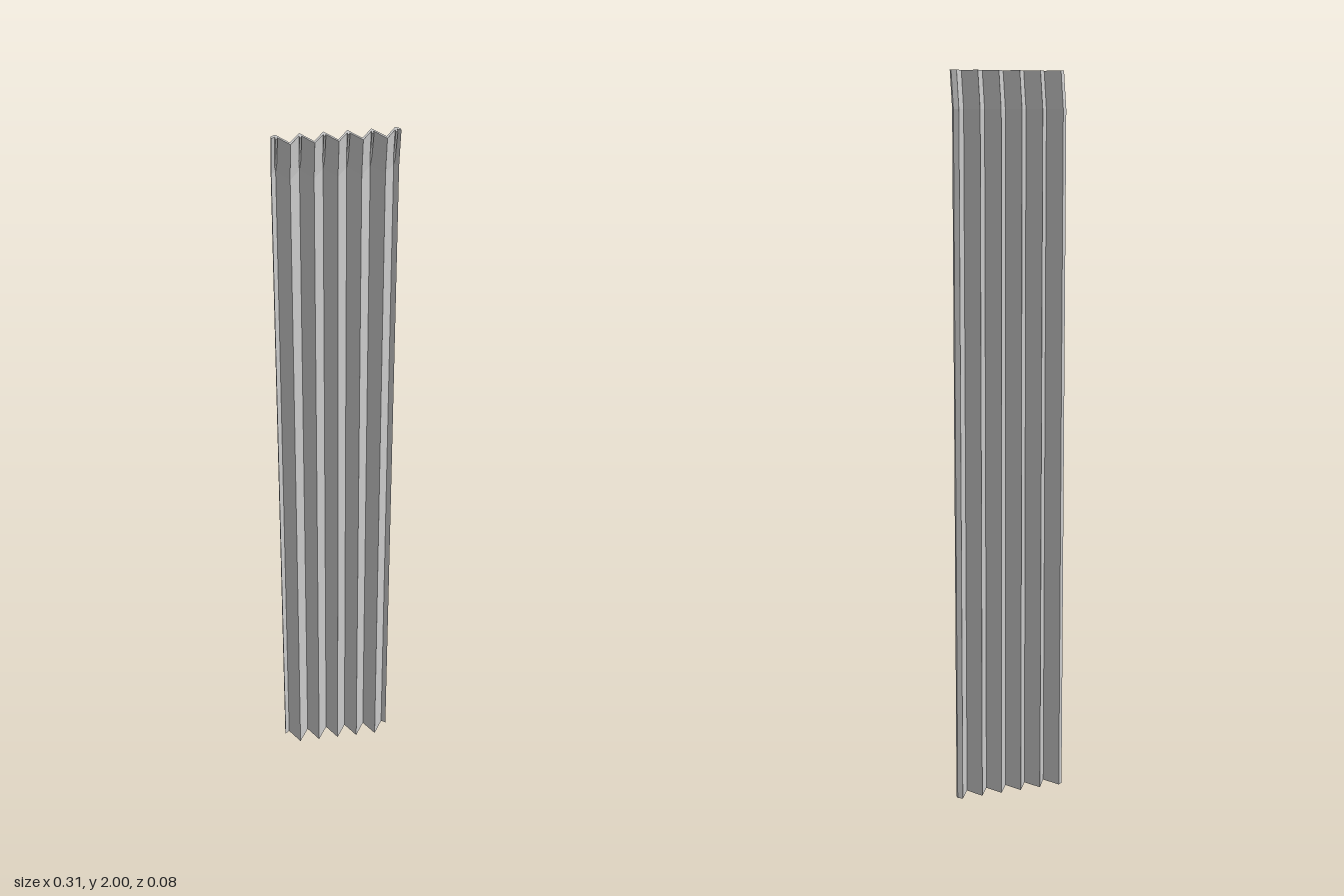
import * as THREE from 'three';

const HEIGHT = 2, BEND = 1.9, LEAN = 0.18;
const PITCH = 0.029;   // half wavelength of the folds
const THICK = 0.011;   // sheet thickness measured along z

// the sheet leans forward above the bend line
function leanForward(geometry) {
  const p = geometry.attributes.position;
  for (let i = 0; i < p.count; i++) {
    p.setZ(i, p.getZ(i) + Math.max(0, p.getY(i) - BEND) * LEAN);
  }
  geometry.computeVertexNormals();
  return geometry;
}

export function createModel() {
  const group = new THREE.Group();
  const material = new THREE.MeshStandardMaterial({ color: 0xcccccc, flatShading: true });

  // rear outline of the zigzag: short wings at both ends, six valleys, five ridges
  const back = [[-0.157, -0.031]];
  for (let i = -5; i <= 5; i++) back.push([i * PITCH, i % 2 ? -0.04 : 0.009]);
  back.push([0.157, -0.031]);
  const front = back.map(([x, z]) => [x, z + THICK]).reverse();
  const outline = [...back, ...front].map(([x, z]) => new THREE.Vector2(x, -z));

  // corrugated sheet; 20 steps place one row of vertices on the bend line
  const sheet = new THREE.ExtrudeGeometry(new THREE.Shape(outline), {
    depth: HEIGHT, steps: 20, bevelEnabled: false,
  }).rotateX(-Math.PI / 2);
  const panel = new THREE.Mesh(leanForward(sheet), material);
  panel.name = 'corrugatedPanel';
  group.add(panel);

  // thin wedge in each front valley of the leaning top
  const wedge = new THREE.Shape([
    new THREE.Vector2(0.029, BEND),
    new THREE.Vector2(0.012, HEIGHT),
    new THREE.Vector2(-0.004, HEIGHT),
  ]);
  const wedgeGeometry = new THREE.ExtrudeGeometry(wedge, { depth: 0.005, bevelEnabled: false })
    .translate(0, 0, -0.0025).rotateY(Math.PI / 2);
  for (let i = -5; i <= 5; i += 2) {
    const fin = new THREE.Mesh(wedgeGeometry, material);
    fin.name = 'valleyGusset';
    fin.position.x = i * PITCH;
    group.add(fin);
  }
  return group;
}
